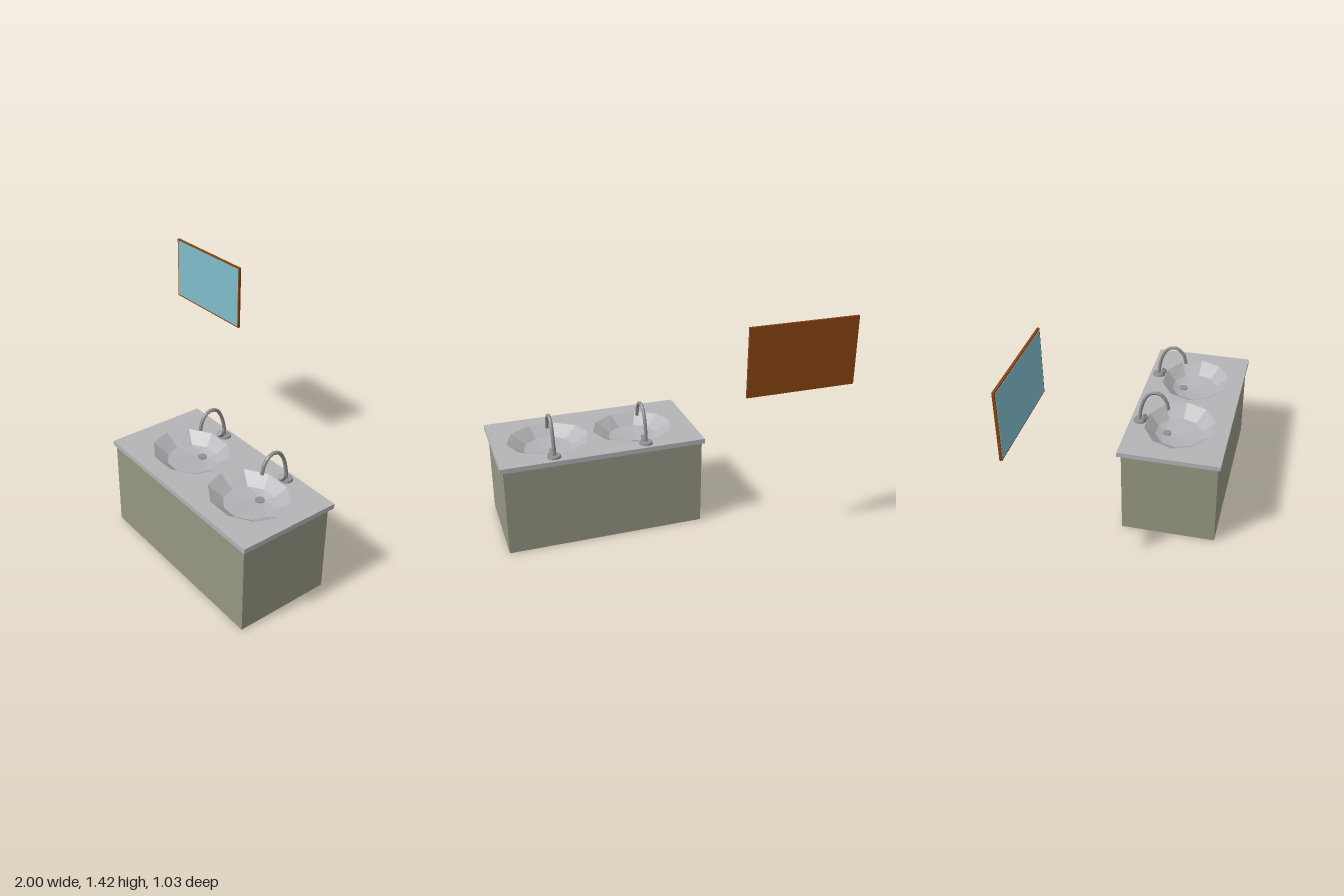
import * as THREE from 'three';

const paint = (name, color, extra = {}) => {
  const m = new THREE.MeshStandardMaterial({ color, ...extra });
  m.name = name;
  return m;
};

export function createModel() {
  const model = new THREE.Group();
  const cabinetPaint = paint('sage cabinet', 0x969683, { side: THREE.DoubleSide });
  const stone = paint('pale grey stone', 0xb4b4b8, { side: THREE.DoubleSide, flatShading: true });
  const metal = paint('grey metal', 0x909092, { flatShading: true });
  const wood = paint('brown wood', 0x8b4513);
  const glass = paint('teal mirror glass', 0x80bccb);

  const add = (parent, name, geometry, material, x = 0, y = 0, z = 0) => {
    const mesh = new THREE.Mesh(geometry, material);
    mesh.name = name;
    mesh.position.set(x, y, z);
    parent.add(mesh);
    return mesh;
  };

  // Cabinet: four thin walls, open underneath
  const cabinet = new THREE.Group();
  cabinet.name = 'cabinet';
  model.add(cabinet);
  const W = 1.225, H = 0.555, D = 0.59, cx = 0.3675, cz = 0.205;
  for (let i = 0; i < 4; i++) {
    const side = i % 2, a = i * Math.PI / 2, r = (side ? W : D) / 2;
    const wall = add(cabinet, 'cabinetWall', new THREE.PlaneGeometry(side ? D : W, H), cabinetPaint,
      cx + Math.sin(a) * r, H / 2, cz + Math.cos(a) * r);
    wall.rotation.y = a;
  }

  // Ten-sided basin outline, shared by the countertop holes and the basins
  const SIDES = 10, basinZ = 0.2, topY = 0.585;
  const ring = (x, z, rx, rz) => Array.from({ length: SIDES }, (_, i) => {
    const a = i / SIDES * Math.PI * 2;
    return [x + Math.cos(a) * rx, z + Math.sin(a) * rz];
  });
  const sinks = [{ x: 0.115, tapX: 0.105 }, { x: 0.655, tapX: 0.67 }];

  // Countertop with two openings
  const top = new THREE.Shape([[-0.255, -0.115], [1, -0.115], [1, 0.515], [-0.255, 0.515]]
    .map(p => new THREE.Vector2(...p)));
  for (const s of sinks)
    top.holes.push(new THREE.Path(ring(s.x, basinZ, 0.255, 0.221).map(p => new THREE.Vector2(...p))));
  const slab = new THREE.ExtrudeGeometry(top, { depth: 0.03, bevelEnabled: false });
  slab.rotateX(Math.PI / 2);
  add(model, 'countertop', slab, stone, 0, topY, 0);

  // Basin: rim, inner ring and drain ring set towards the back
  const basinGeometry = x => {
    const levels = [[basinZ, 0.255, 0.221, 0], [0.195, 0.155, 0.15, -0.06], [0.12, 0.025, 0.025, -0.078]];
    const pos = [], idx = [];
    for (const [z, rx, rz, y] of levels)
      for (const p of ring(x, z, rx, rz)) pos.push(p[0], topY + y, p[1]);
    for (let l = 0; l < levels.length - 1; l++)
      for (let i = 0; i < SIDES; i++) {
        const j = (i + 1) % SIDES, a = l * SIDES + i, b = l * SIDES + j;
        idx.push(a, b, a + SIDES, b, b + SIDES, a + SIDES);
      }
    const g = new THREE.BufferGeometry();
    g.setAttribute('position', new THREE.Float32BufferAttribute(pos, 3));
    g.setIndex(idx);
    g.computeVertexNormals();
    return g;
  };

  // Swan-neck spout path
  const neck = new THREE.CatmullRomCurve3([
    [0.595, -0.055], [0.66, -0.05], [0.74, -0.028], [0.79, 0.005], [0.805, 0.04],
    [0.795, 0.08], [0.755, 0.112], [0.695, 0.127],
  ].map(([y, z]) => new THREE.Vector3(0, y, z)));

  for (const s of sinks) {
    add(model, 'basin', basinGeometry(s.x), stone);
    add(model, 'drain', new THREE.CylinderGeometry(0.028, 0.028, 0.008, 12), metal, s.x, topY - 0.076, 0.12);

    const tap = new THREE.Group();
    tap.name = 'faucet';
    tap.position.x = s.tapX;
    model.add(tap);
    add(tap, 'faucetBase', new THREE.CylinderGeometry(0.038, 0.042, 0.013, 16), metal, 0, topY + 0.0065, -0.055);
    add(tap, 'spout', new THREE.TubeGeometry(neck, 14, 0.011, 8), metal);
    const tip = add(tap, 'spoutTip', new THREE.CircleGeometry(0.011, 8), metal, 0, 0.695, 0.127);
    tip.rotation.x = Math.PI / 2;
    // Tilted control knob in front of the neck
    const knob = add(tap, 'knob', new THREE.CylinderGeometry(0.021, 0.017, 0.032, 10), metal, 0, 0.609, -0.026);
    knob.rotation.x = 0.65;
  }

  // Wall mirror: wooden backing with a thin glass face
  add(model, 'mirrorFrame', new THREE.BoxGeometry(0.665, 0.41, 0.014), wood, -0.6675, 1.218, -0.513);
  add(model, 'mirrorGlass', new THREE.BoxGeometry(0.647, 0.392, 0.003), glass, -0.6675, 1.218, -0.5055);

  return model;
}
